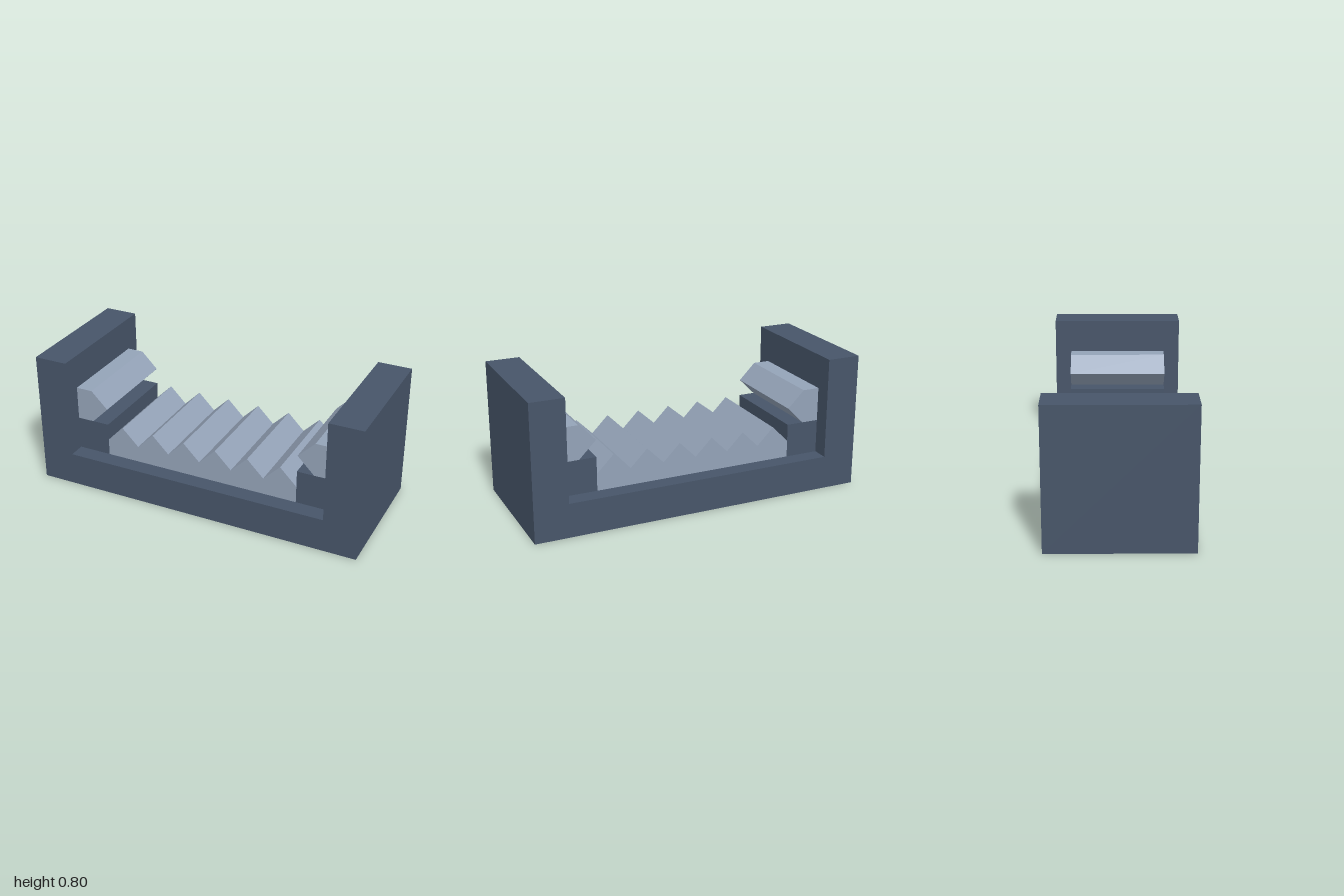
import * as THREE from 'three';

const dark = new THREE.MeshStandardMaterial({ color: 0x475569, flatShading: true });
const light = new THREE.MeshStandardMaterial({ color: 0x94a3b8, flatShading: true });

// Prism with an x-y outline, centred on z = 0
function prism(name, points, depth, material) {
  const shape = new THREE.Shape(points.map(([x, y]) => new THREE.Vector2(x, y)));
  const geometry = new THREE.ExtrudeGeometry(shape, { depth, bevelEnabled: false });
  geometry.translate(0, 0, -depth / 2);
  const mesh = new THREE.Mesh(geometry, material);
  mesh.name = name;
  return mesh;
}

export function createModel() {
  const model = new THREE.Group();
  model.name = 'toothedChannel';

  // U-shaped frame: floor and two end walls
  model.add(prism('frame', [
    [-1, 0], [1, 0], [1, 0.8], [0.8, 0.8], [0.8, 0.2],
    [-0.8, 0.2], [-0.8, 0.8], [-1, 0.8],
  ], 0.8, dark));

  // Rack with six triangular teeth
  const teeth = 6, pitch = 0.2;
  const outline = [[-0.6, 0.2], [0.6, 0.2], [0.6, 0.3]];
  for (let i = 0; i < teeth; i++) {
    const x = 0.6 - i * pitch;
    outline.push([x - pitch / 2, 0.4], [x - pitch, 0.3]);
  }
  model.add(prism('toothedRack', outline, 0.6, light));

  // Stop block and pointed jaw at each end
  for (const [side, s] of [['left', 1], ['right', -1]]) {
    const block = new THREE.Mesh(new THREE.BoxGeometry(0.2, 0.2, 0.6), dark);
    block.position.set(s * 0.7, 0.3, 0);
    block.name = side + 'StopBlock';
    model.add(block);

    const jaw = [[0.8, 0.4], [0.8, 0.6], [0.7, 0.6], [0.6, 0.5], [0.7, 0.4]];
    model.add(prism(side + 'Jaw', jaw.map(([x, y]) => [s * x, y]), 0.6, light));
  }
  return model;
}
